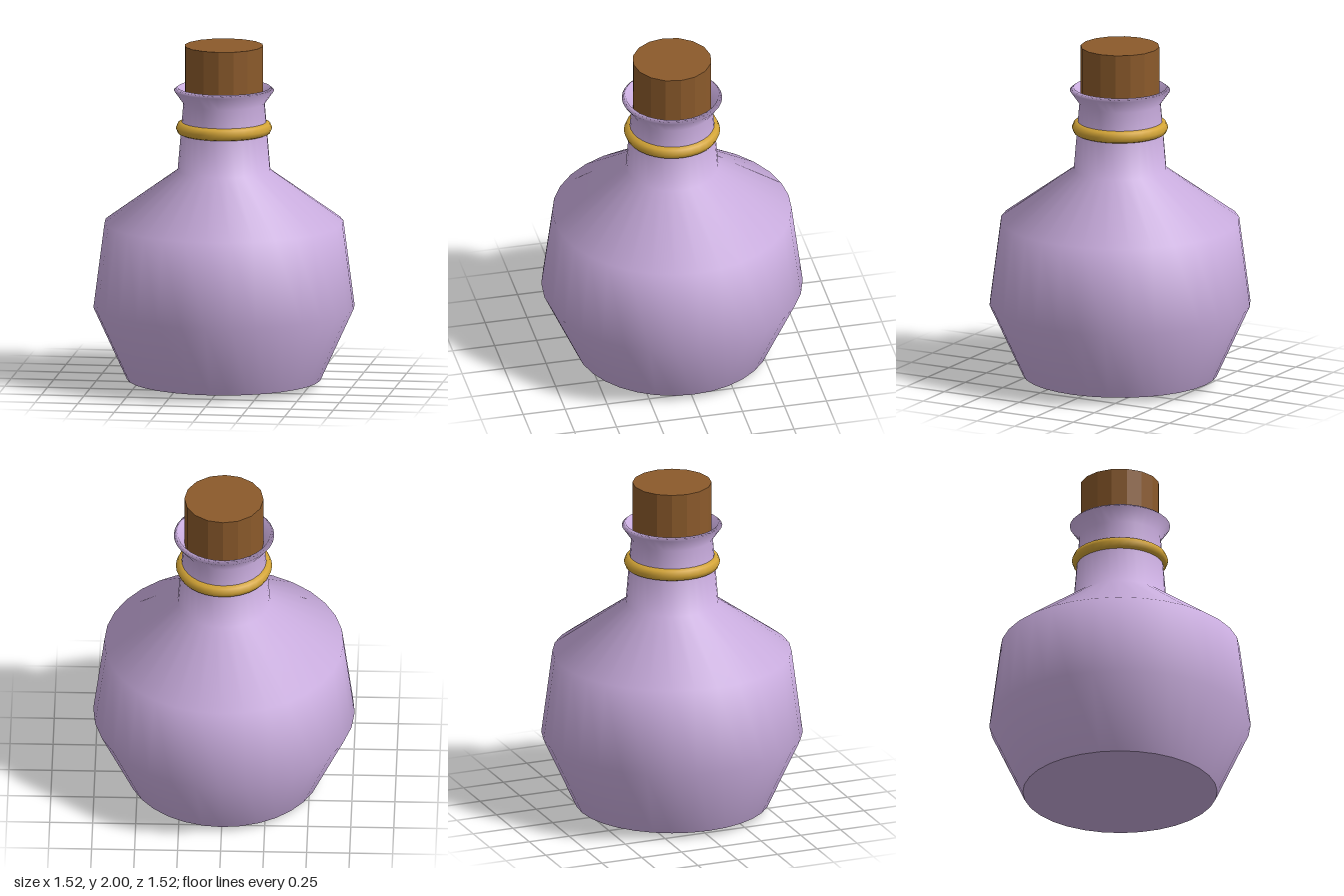
import * as THREE from 'three';

const material = (name, color, extra = {}) => {
  const m = new THREE.MeshStandardMaterial({ color, ...extra });
  m.name = name;
  return m;
};

export function createModel() {
  const group = new THREE.Group();
  group.name = 'corkedBottle';
  const lilac = material('lilac glass', 0xcbaee0);
  const gold = material('gold', 0xd4a537);
  const brown = material('cork brown', 0x8b5a2b, { flatShading: true });

  const add = (name, geometry, mat, y = 0) => {
    const mesh = new THREE.Mesh(geometry, mat);
    mesh.name = name;
    mesh.position.y = y;
    group.add(mesh);
    return mesh;
  };
  const lathe = (points) =>
    new THREE.LatheGeometry(points.map(([r, y]) => new THREE.Vector2(r, y)), 32);

  // Shallow pointed underside, separate so its rim stays sharp
  add('base', lathe([[0, 0], [0.565, 0.035]]), lilac);

  // Belly, shoulder, neck and flared lip turning back inside to the cork
  add('bottle', lathe([
    [0.565, 0.035], [0.76, 0.46], [0.695, 0.96], [0.27, 1.265],
    [0.237, 1.66], [0.292, 1.737], [0.27, 1.755], [0.22, 1.66],
  ]), lilac);

  // Ring around the neck
  const ring = new THREE.TorusGeometry(0.241, 0.039, 8, 32);
  ring.rotateX(Math.PI / 2);
  add('neckRing', ring, gold, 1.515);

  // Faceted stopper
  add('cork', new THREE.CylinderGeometry(0.23, 0.23, 0.45, 16), brown, 1.775);

  return group;
}
